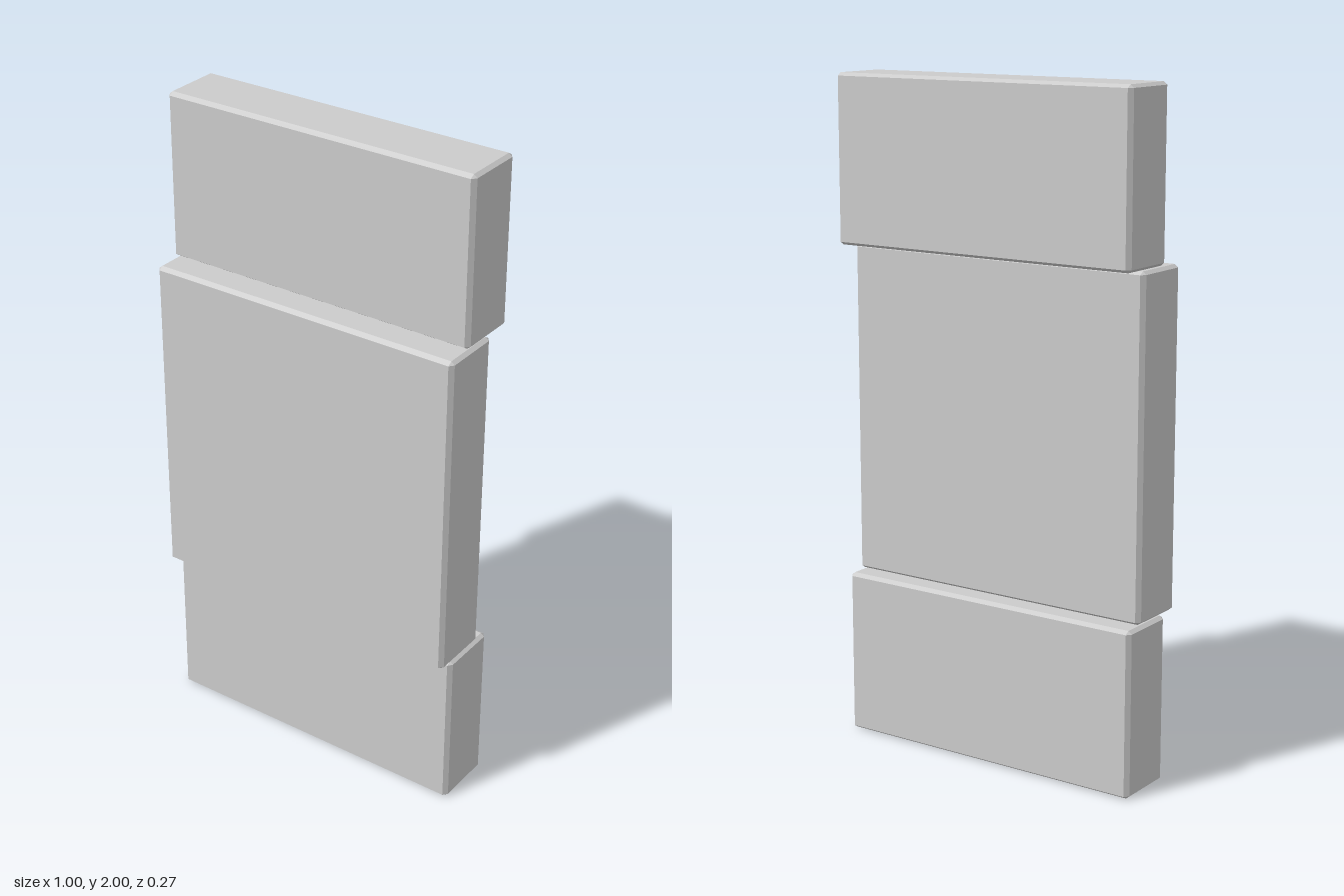
import * as THREE from 'three';
import { ConvexGeometry } from 'three/addons/geometries/ConvexGeometry.js';

const material = new THREE.MeshStandardMaterial({ color: 0xcccccc, flatShading: true });

// Box with one flat chamfer on every edge: hull of the six inset faces
function chamferedBox(w, h, d, bevel) {
  const half = new THREE.Vector3(w, h, d).multiplyScalar(0.5);
  const inner = half.clone().sub(bevel);
  const points = [];
  for (const sx of [-1, 1]) for (const sy of [-1, 1]) for (const sz of [-1, 1]) {
    const sign = new THREE.Vector3(sx, sy, sz);
    for (const axis of ['x', 'y', 'z']) {
      const p = inner.clone();
      p[axis] = half[axis];
      points.push(p.multiply(sign));
    }
  }
  return new ConvexGeometry(points);
}

export function createModel() {
  const group = new THREE.Group();
  group.name = 'steppedPanel';
  const width = 0.997, depth = 0.196;
  const bevel = new THREE.Vector3(0.011, 0.009, 0.014);

  // Three stacked slabs, each shifted in depth: name, bottom, top, centre z
  const slabs = [
    ['lowerSlab', 0, 0.498, -0.012],
    ['middleSlab', 0.502, 1.499, 0.037],
    ['upperSlab', 1.503, 2, -0.039],
  ];
  for (const [name, y0, y1, z] of slabs) {
    const slab = new THREE.Mesh(chamferedBox(width, y1 - y0, depth, bevel), material);
    slab.name = name;
    slab.position.set(0, (y0 + y1) / 2, z);
    group.add(slab);
  }
  return group;
}
